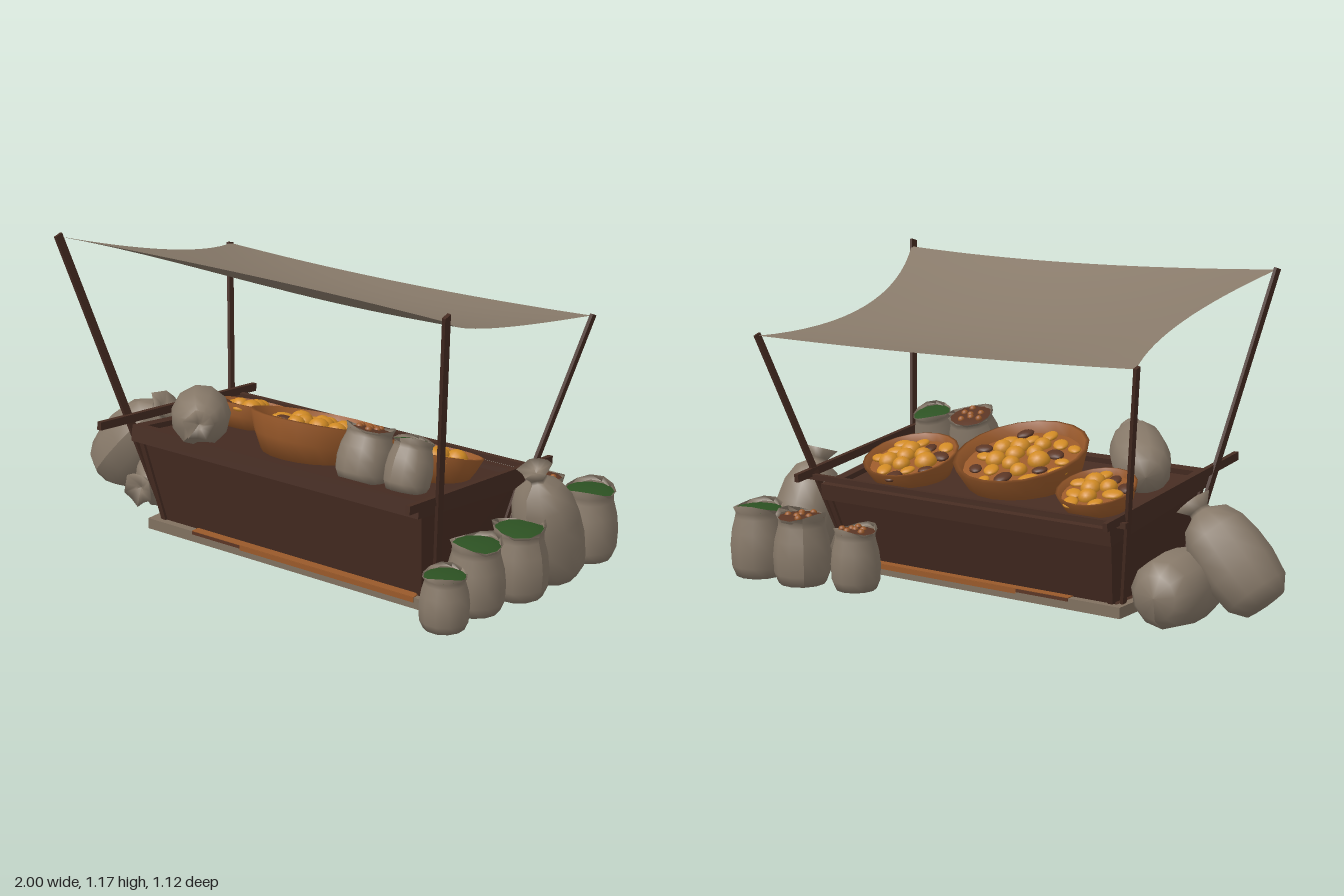
import * as THREE from 'three';

const UP = new THREE.Vector3(0, 1, 0);
const V = (a) => new THREE.Vector3(...a);

function material(name, color, side = THREE.FrontSide) {
  const m = new THREE.MeshStandardMaterial({ color, side });
  m.name = name;
  return m;
}

export function createModel() {
  const cloth = material('sackcloth', 0x877969, THREE.DoubleSide);
  const wood = material('darkWood', 0x462c22, THREE.DoubleSide);
  const pale = material('weatheredWood', 0x80705f);
  const wicker = material('wicker', 0x99592a, THREE.DoubleSide);
  const fruitSkin = material('fruitSkin', 0xd08a24);
  const greens = material('greens', 0x2c5122, THREE.DoubleSide);
  const nuts = material('nuts', 0x5a3524, THREE.DoubleSide);

  const model = new THREE.Group();
  model.name = 'marketStall';

  function add(name, geo, mat, pos = [0, 0, 0], parent = model) {
    const mesh = new THREE.Mesh(geo, mat);
    mesh.name = name;
    mesh.position.set(...pos);
    parent.add(mesh);
    return mesh;
  }
  const box = (name, size, pos, mat, parent) => add(name, new THREE.BoxGeometry(...size), mat, pos, parent);

  // Squared bar between two points, its width kept facing sideways
  function beam(name, a, b, w, d) {
    const p = V(a), q = V(b), dir = q.clone().sub(p);
    const mesh = box(name, [w, dir.length(), d], p.clone().add(q).multiplyScalar(0.5).toArray(), wood);
    dir.normalize();
    const side = new THREE.Vector3(1, 0, 0).addScaledVector(dir, -dir.x).normalize();
    mesh.setRotationFromMatrix(new THREE.Matrix4().makeBasis(side, dir, side.clone().cross(dir)));
  }

  const lathe = (pts, r, h, n) =>
    new THREE.LatheGeometry(pts.map(([x, y]) => new THREE.Vector2(x * r, y * h)), n);

  // --- Canopy: bilinear sheet with hollowed edges, sagging more on its left
  const sheet = new THREE.PlaneGeometry(1, 1, 20, 16);
  const pos = sheet.attributes.position;
  const corners = [[-0.69, 1.16, 0.54], [0.925, 1.14, 0.525], [-0.69, 0.935, -0.405], [0.865, 0.915, -0.46]].map(V);
  for (let i = 0; i < pos.count; i++) {
    const u = pos.getX(i) + 0.5, v = pos.getY(i) + 0.5;
    const su = 4 * u * (1 - u), sv = 4 * v * (1 - v);
    const p = corners[0].clone().lerp(corners[1], u)
      .lerp(corners[2].clone().lerp(corners[3], u), v);
    p.x += sv * (0.1 * (1 - u) ** 2 - 0.125 * u * u);
    p.z += su * (0.015 * v - 0.07 * (1 - v) ** 2);
    p.y -= (0.02 + 0.035 * u) * sv + 0.026 * su * sv + 0.014 * su;
    pos.setXYZ(i, p.x, p.y, p.z);
  }
  sheet.computeVertexNormals();
  add('canopy', sheet, cloth);

  // --- Poles and rails
  beam('frontLeftPole', [0.927, 1.165, 0.54], [0.7, 0.07, 0.225], 0.012, 0.032);
  beam('frontRightPole', [-0.692, 1.165, 0.54], [-0.5, 0.07, 0.225], 0.012, 0.032);
  beam('backLeftPole', [0.872, 0.92, -0.46], [0.7, 0.07, -0.165], 0.012, 0.026);
  beam('backRightPole', [-0.69, 0.94, -0.4], [-0.5, 0.07, -0.165], 0.012, 0.026);
  for (const x of [-0.56, 0.77]) beam('sideRail', [x, 0.478, 0.505], [x, 0.388, -0.38], 0.018, 0.03);
  box('backRail', [1.38, 0.02, 0.02], [0.1, 0.38, -0.29], wood);

  // --- Counter body: four flared walls, open underneath
  const ring = (x0, x1, z0, z1, yf, yb) => [[x0, yf, z1], [x1, yf, z1], [x1, yb, z0], [x0, yb, z0]];
  const low = ring(-0.465, 0.665, -0.185, 0.265, 0.06, 0.06);
  const high = ring(-0.515, 0.705, -0.275, 0.335, 0.41, 0.325);
  const wallPoints = [];
  for (let i = 0; i < 4; i++) {
    const j = (i + 1) % 4;
    wallPoints.push(...low[i], ...low[j], ...high[j], ...low[i], ...high[j], ...high[i]);
  }
  const walls = new THREE.BufferGeometry();
  walls.setAttribute('position', new THREE.Float32BufferAttribute(wallPoints, 3));
  walls.computeVertexNormals();
  add('counterWalls', walls, wood);
  for (let i = 0; i < 4; i++) beam('cornerPost', low[i], high[i], 0.02, 0.02);

  // --- Tilted counter top with raised lip
  const top = new THREE.Group();
  top.name = 'counterTop';
  top.position.set(0.095, 0.405, 0.03);
  top.rotation.x = -0.135;
  model.add(top);
  box('tabletop', [1.2, 0.03, 0.62], [0, -0.035, 0], wood, top);
  for (const s of [-1, 1]) {
    box('longLip', [1.25, 0.06, 0.04], [0, -0.03, s * 0.315], wood, top);
    box('shortLip', [0.04, 0.06, 0.59], [s * 0.605, -0.03, 0], wood, top);
  }

  // --- Base frame with worn boards
  for (const [z, s] of [[0.285, 1], [-0.205, -1]]) {
    box('baseBoard', [1.26, 0.04, 0.03], [0.11, 0.05, z], pale);
    box('innerBoard', [1.2, 0.036, 0.05], [0.11, 0.05, z - s * 0.04], wood);
    box('wornTop', [0.97, 0.004, 0.05], [0.175, 0.071, z - s * 0.008], wicker);
    box('wornFace', [0.75, 0.018, 0.004], [0.285, 0.062, z + s * 0.016], wicker);
    box('stainedFace', [0.22, 0.012, 0.004], [-0.2, 0.065, z + s * 0.016], nuts);
  }
  for (const [x, s] of [[0.725, 1], [-0.505, -1]]) {
    box('baseEnd', [0.03, 0.04, 0.46], [x, 0.05, 0.04], pale);
    box('innerEnd', [0.05, 0.036, 0.46], [x - s * 0.04, 0.05, 0.04], wood);
  }

  // --- Baskets: round fruit in the middle, half-buried fruit and gaps around it
  const bowl = [[0, -1], [0.72, -1], [0.88, -0.5], [1, 0], [0.94, 0.02], [0.86, -0.3]];
  const fruitGeo = new THREE.IcosahedronGeometry(1, 2);
  function basket(x, y, z, r, h, count) {
    const g = new THREE.Group();
    g.name = 'fruitBasket';
    g.position.set(x, y, z);
    g.rotation.x = -0.29;
    model.add(g);
    add('bowl', lathe(bowl, r, h, 20), wicker, [0, 0, 0], g);
    add('filling', lathe([[0.92, -0.25], [0.5, -0.17], [0, -0.12]], r, h, 16), wicker, [0, 0, 0], g);
    for (let i = 0; i < count; i++) {
      const t = Math.sqrt((i + 0.5) / count), a = i * 2.4;
      const inner = t < 0.58;
      const size = (inner ? 0.037 : 0.034) + 0.005 * Math.sin(i * 5.1);
      const f = add(inner ? 'fruit' : 'buriedFruit', fruitGeo, i % 3 === 0 && !inner ? nuts : fruitSkin,
        [Math.cos(a) * t * r * 0.82, -h * (0.1 + 0.08 * t), Math.sin(a) * t * r * 0.82], g);
      f.scale.set(size, size * (inner ? 0.85 : 0.35), size * (inner ? 1 : 0.75));
      f.rotation.y = a;
    }
  }
  basket(0.06, 0.502, 0.03, 0.25, 0.15, 26);
  basket(0.49, 0.455, -0.06, 0.18, 0.1, 17);
  basket(-0.34, 0.445, -0.09, 0.145, 0.09, 12);

  // --- Open sacks with a ragged rim
  const openProfile = [[0, 0], [0.82, 0], [0.97, 0.15], [1, 0.4], [0.94, 0.62], [0.81, 0.82], [0.8, 0.9], [0.88, 0.98], [0.78, 0.92]];
  function openSack(x, y, z, r, h, fill, lean = 0) {
    const g = new THREE.Group();
    g.name = 'openSack';
    g.position.set(x, y, z);
    g.rotation.set(lean, x * 9 + z * 5, 0);
    model.add(g);
    const geo = lathe(openProfile, r, h, 12);
    const p = geo.attributes.position;
    for (let i = 0; i < p.count; i++) {
      if (p.getY(i) < h * 0.91) continue;
      const a = Math.atan2(p.getZ(i), p.getX(i));
      p.setY(i, p.getY(i) + h * 0.05 * Math.sin(2 * a));
    }
    geo.computeVertexNormals();
    add('sackBag', geo, cloth, [0, 0, 0], g);
    add('sackFilling', lathe([[0.82, 0.93], [0.5, 0.965], [0, 0.97]], r, h, 12), fill, [0, 0, 0], g);
    if (fill === nuts) {
      for (let i = 0; i < 7; i++) {
        const t = r * 0.6 * Math.sqrt(i / 7);
        add('nut', fruitGeo, wicker, [Math.cos(i * 2.4) * t, h * 0.955, Math.sin(i * 2.4) * t], g).scale.setScalar(0.013);
      }
    }
  }
  openSack(0.82, 0.03, 0.355, 0.087, 0.195, greens);
  openSack(0.825, 0.03, 0.175, 0.103, 0.25, greens);
  openSack(0.87, 0.03, -0.02, 0.108, 0.255, greens);
  openSack(0.89, 0.03, -0.455, 0.107, 0.265, greens);
  openSack(0.685, 0.03, -0.455, 0.105, 0.26, nuts);
  openSack(0.47, 0.03, -0.415, 0.09, 0.225, nuts);
  openSack(0.385, 0.405, 0.225, 0.1, 0.19, nuts, -0.3);
  openSack(0.56, 0.405, 0.215, 0.084, 0.183, greens, -0.3);

  // --- Tied sacks, from base point to tip of the neck
  const tiedProfile = [[0, 0], [0.6, 0.02], [0.9, 0.13], [1, 0.34], [0.98, 0.53], [0.88, 0.7], [0.6, 0.83], [0.27, 0.89], [0.26, 0.92], [0.48, 1], [0.15, 0.97], [0, 0.95]];
  function tiedSack(base, tip, r) {
    const dir = V(tip).sub(V(base));
    const geo = lathe(tiedProfile, r, dir.length(), 11);
    const p = geo.attributes.position;
    // Gathered folds near the knot
    for (let i = 0; i < p.count; i++) {
      if (p.getY(i) / dir.length() < 0.75) continue;
      const k = 1 + 0.14 * Math.sin(5 * Math.atan2(p.getZ(i), p.getX(i)));
      p.setX(i, p.getX(i) * k);
      p.setZ(i, p.getZ(i) * k);
    }
    geo.computeVertexNormals();
    add('tiedSack', geo, cloth, base).quaternion.setFromUnitVectors(UP, dir.normalize());
  }
  tiedSack([-0.95, 0.085, 0.03], [-0.655, 0.41, 0.03], 0.132);
  tiedSack([-0.67, 0.132, -0.25], [-0.65, 0.125, 0.21], 0.132);
  tiedSack([0.88, 0.01, -0.275], [0.855, 0.45, -0.135], 0.122);
  tiedSack([-0.43, 0.455, 0.09], [-0.17, 0.54, 0.42], 0.108);

  return model;
}
